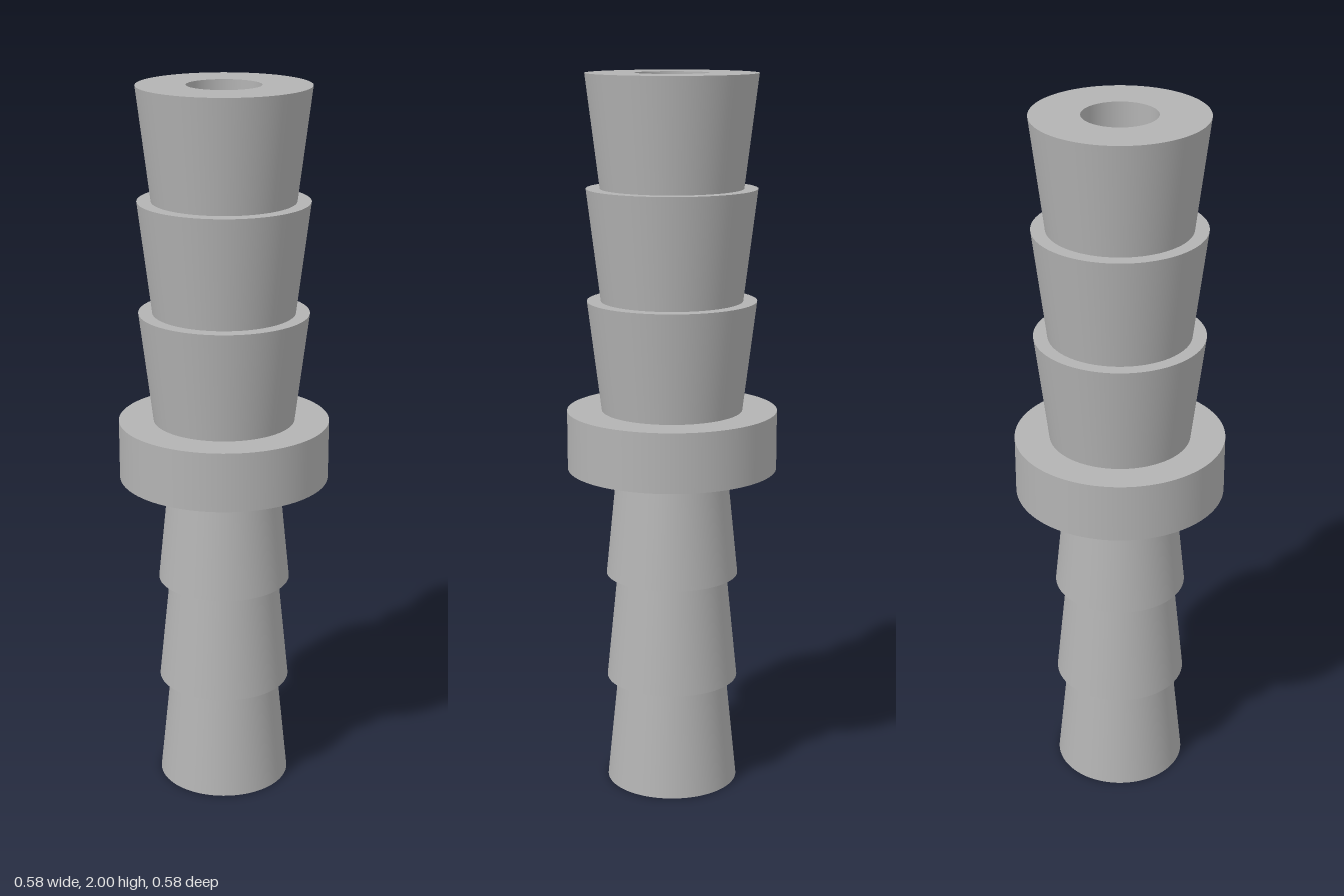
import * as THREE from 'three';
import { mergeGeometries } from 'three/addons/utils/BufferGeometryUtils.js';

const SIDES = 96;
const BORE = 0.1;

// Revolve a profile, one smooth band per segment so the corners stay sharp.
// Profiles run up the outside, so that faces point away from the body.
function revolve(profile) {
  const points = profile.map(([r, y]) => new THREE.Vector2(r, y));
  const bands = points.slice(1).map((p, i) => new THREE.LatheGeometry([points[i], p], SIDES));
  return mergeGeometries(bands);
}

export function createModel() {
  const model = new THREE.Group();
  model.name = 'barbedHoseConnector';
  const grey = new THREE.MeshStandardMaterial({ color: 0xb3b3b3 });
  grey.name = 'grey';

  const add = (name, profile) => {
    const mesh = new THREE.Mesh(revolve(profile), grey);
    mesh.name = name;
    model.add(mesh);
  };

  const collarBottom = 0.92, collarTop = 1.085;
  const lower = { wide: 0.185, narrow: 0.154, step: collarBottom / 3 };
  const upper = { wide: 0.233, narrow: 0.195, step: (2 - collarTop) / 3 };

  for (let i = 0; i < 3; i++) {
    // Lower barbs widen downwards, each with a ledge underneath
    const y0 = i * lower.step;
    add('lowerBarb' + (i + 1), [
      [i === 0 ? BORE : lower.narrow, y0], [lower.wide, y0], [lower.narrow, y0 + lower.step],
    ]);
    // Upper barbs widen upwards, each with a ledge on top
    const y1 = collarTop + i * upper.step;
    add('upperBarb' + (i + 1), [
      [upper.narrow, y1], [upper.wide, y1 + upper.step], [i === 2 ? BORE : upper.narrow, y1 + upper.step],
    ]);
  }

  // Middle stop collar
  add('collar', [
    [lower.narrow, collarBottom], [0.291, collarBottom], [0.291, collarTop], [upper.narrow, collarTop],
  ]);

  // Through bore, facing the axis
  add('bore', [[BORE, 2], [BORE, 0]]);

  return model;
}
